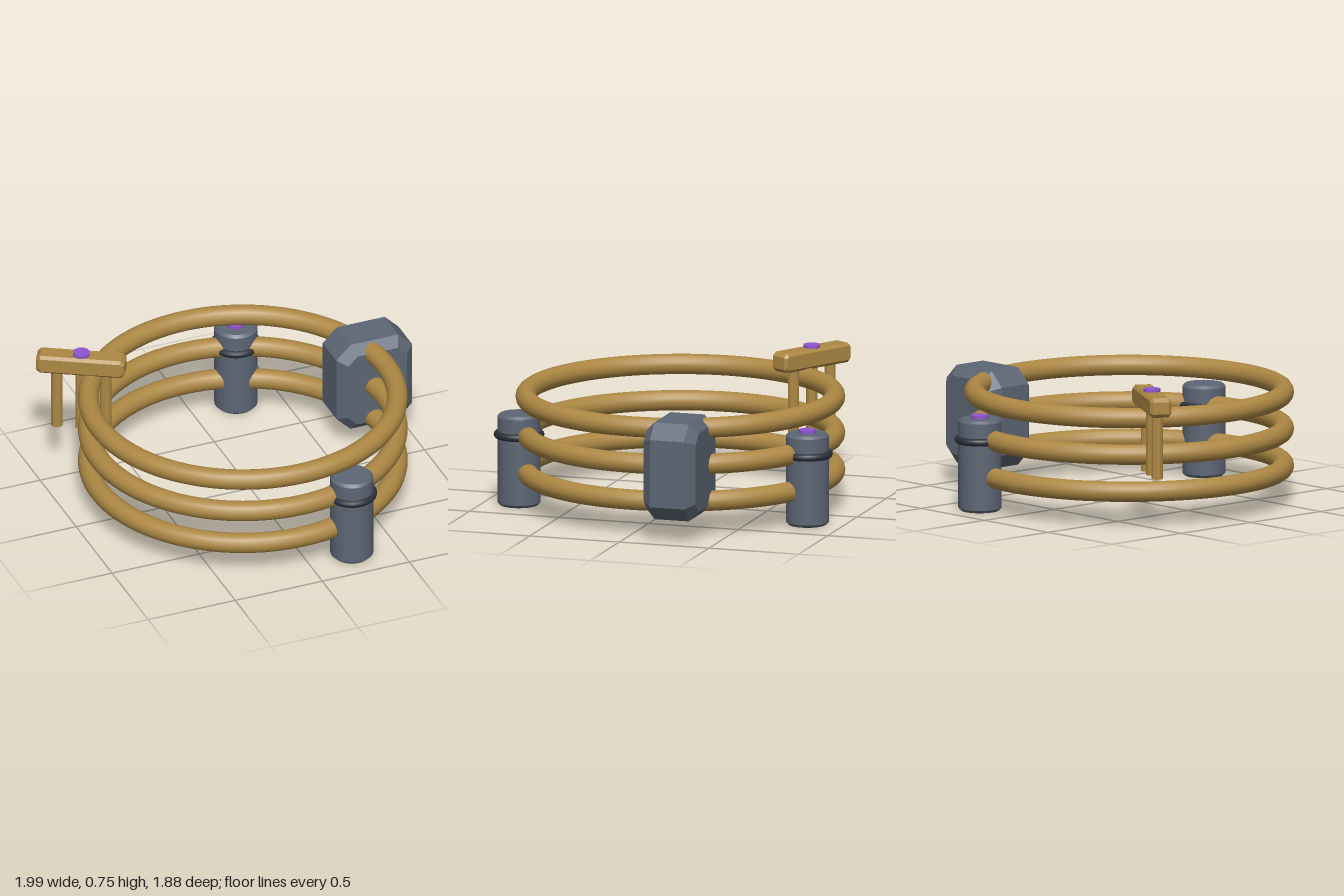
import * as THREE from 'three';
import { toCreasedNormals } from 'three/addons/utils/BufferGeometryUtils.js';

const gold = new THREE.MeshStandardMaterial({ color: 0xad8844 });
const goldFlat = new THREE.MeshStandardMaterial({ color: 0xad8844, flatShading: true });
const slate = new THREE.MeshStandardMaterial({ color: 0x5d6675 });
const slateFlat = new THREE.MeshStandardMaterial({ color: 0x5d6675, flatShading: true });
const dark = new THREE.MeshStandardMaterial({ color: 0x2a303c });
const purple = new THREE.MeshStandardMaterial({ color: 0x8f55d0 });

function add(parent, name, geometry, material, x, y, z) {
  const mesh = new THREE.Mesh(geometry, material);
  mesh.name = name;
  mesh.position.set(x, y, z);
  parent.add(mesh);
  return mesh;
}

// Box with cut corners (c) in its front outline and bevelled (b) front and back faces
function chamferedBox(w, h, d, c, b) {
  const x = w / 2, y = h / 2;
  const corners = [
    [x - c, -y], [x, -y + c], [x, y - c], [x - c, y],
    [-x + c, y], [-x, y - c], [-x, -y + c], [-x + c, -y],
  ];
  const shape = new THREE.Shape(corners.map(([px, py]) => new THREE.Vector2(px, py)));
  const geometry = new THREE.ExtrudeGeometry(shape, {
    depth: d - 2 * b, bevelEnabled: true, bevelSegments: 1,
    bevelThickness: b, bevelSize: b, bevelOffset: -b,
  });
  return geometry.translate(0, 0, -d / 2 + b);
}

// Small round button
const button = () => toCreasedNormals(new THREE.CylinderGeometry(0.045, 0.045, 0.03, 24), 0.6);

export function createModel() {
  const model = new THREE.Group();
  model.name = 'ringBarrier';

  // Three stacked rings
  [0.185, 0.385, 0.582].forEach((y, i) => {
    const ring = add(model, `ring${i + 1}`, new THREE.TorusGeometry(0.82, 0.055, 16, 96), gold, -0.043, y, 0);
    ring.rotation.x = Math.PI / 2;
  });

  // Housing that joins the rings
  add(model, 'housing', chamferedBox(0.435, 0.525, 0.29, 0.08, 0.05), slateFlat, 0.782, 0.382, -0.265);

  // Front and back posts, each with a dark collar
  const postProfile = [[0, 0], [0.1, 0], [0.115, 0.015], [0.115, 0.48], [0.1, 0.495], [0, 0.495]]
    .map(([r, y]) => new THREE.Vector2(r, y));
  for (const side of [1, -1]) {
    const post = new THREE.Group();
    post.name = side > 0 ? 'frontPost' : 'backPost';
    post.position.set(0.25, 0, side * 0.805);
    model.add(post);
    add(post, 'postBody', toCreasedNormals(new THREE.LatheGeometry(postProfile, 32), 0.6), slate, 0, 0, 0);
    const collar = add(post, 'collar', new THREE.TorusGeometry(0.115, 0.02, 12, 40), dark, 0, 0.382, 0);
    collar.rotation.x = Math.PI / 2;
    if (side < 0) add(post, 'postButton', button(), purple, 0, 0.498, 0);
  }

  // Slanted handle block with a button and three hanging pegs
  const handle = new THREE.Group();
  handle.name = 'handle';
  handle.position.set(-0.765, 0, -0.497);
  handle.rotation.y = -Math.PI / 6;
  model.add(handle);
  add(handle, 'handleBlock', chamferedBox(0.475, 0.105, 0.115, 0.02, 0.015), goldFlat, 0, 0.682, 0);
  add(handle, 'handleButton', button(), purple, 0, 0.735, 0);
  for (const x of [-0.13, 0, 0.13]) {
    add(handle, 'peg', new THREE.CylinderGeometry(0.031, 0.031, 0.36, 10), goldFlat, x, 0.465, 0);
  }

  return model;
}
